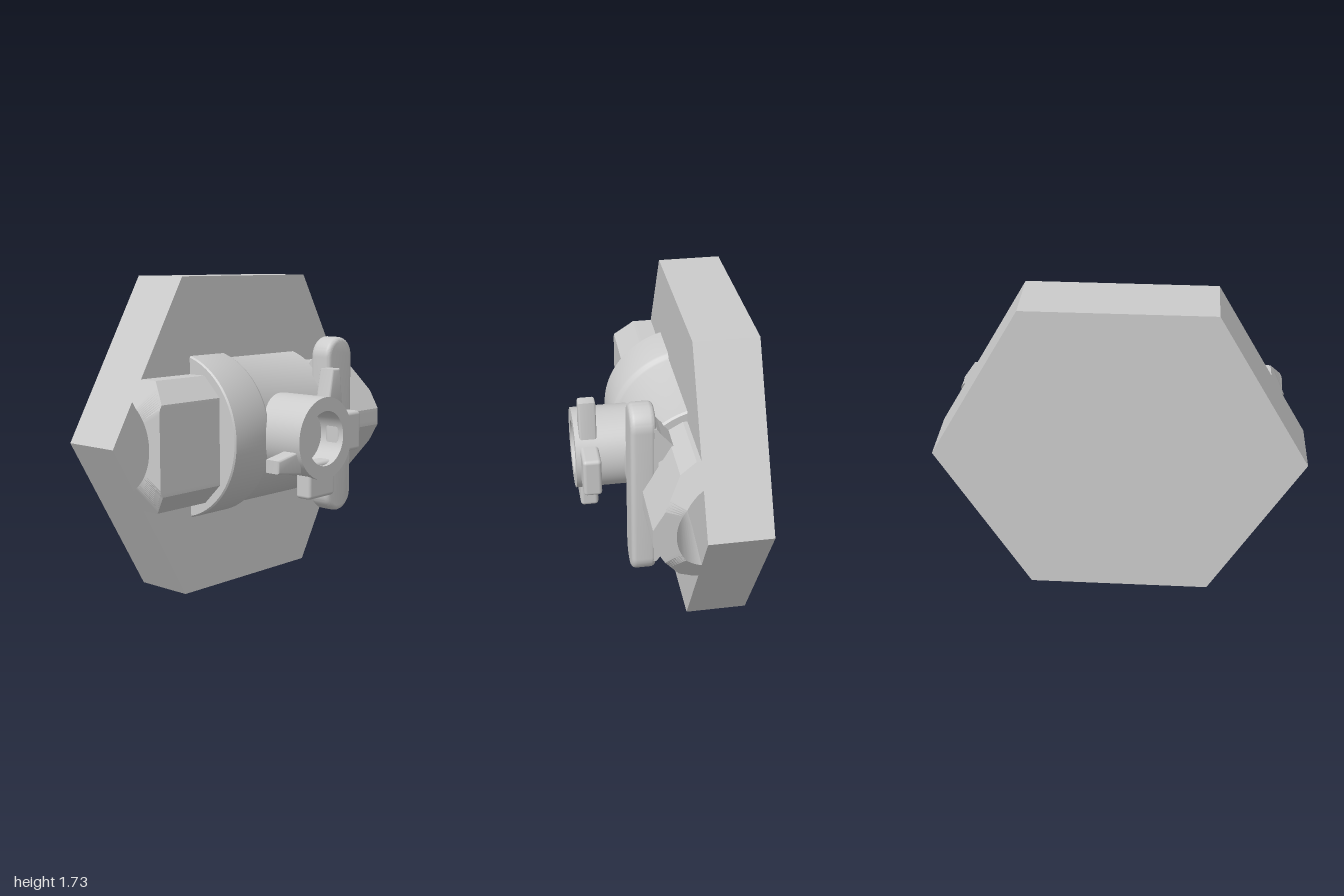
import * as THREE from 'three';
import { toCreasedNormals } from 'three/addons/utils/BufferGeometryUtils.js';
import { RoundedBoxGeometry } from 'three/addons/geometries/RoundedBoxGeometry.js';

const CY = 0.866, AXIS_Z = -0.24, PLATE_FRONT = -0.115, PLATE_BACK = -0.455;
const rad = THREE.MathUtils.degToRad;
const V = (x, y) => new THREE.Vector2(x, y);

export function createModel() {
  const group = new THREE.Group();
  const mat = new THREE.MeshStandardMaterial({ color: 0xcccccc });
  const openMat = new THREE.MeshStandardMaterial({ color: 0xcccccc, side: THREE.DoubleSide });

  const add = (name, geo, x = 0, y = 0, z = 0, material = mat) => {
    const mesh = new THREE.Mesh(geo, material);
    mesh.name = name;
    mesh.position.set(x, y, z);
    group.add(mesh);
    return mesh;
  };

  // Hexagonal backing plate
  const hex = new THREE.Shape(Array.from({ length: 6 }, (_, i) => V(Math.cos(rad(i * 60)), Math.sin(rad(i * 60)))));
  add('hexPlate', new THREE.ExtrudeGeometry(hex, { depth: PLATE_FRONT - PLATE_BACK, bevelEnabled: false }), 0, CY, PLATE_BACK);

  // Half-round valve body, wider on the left with a soft step
  const body = new THREE.LatheGeometry([
    V(0.28, -0.45), V(0.452, -0.45), V(0.46, -0.442), V(0.46, -0.19), V(0.455, -0.177), V(0.44, -0.165),
    V(0.435, -0.15), V(0.435, 0.405), V(0.425, 0.415), V(0.28, 0.415),
  ], 64, -Math.PI / 2, Math.PI);
  body.rotateZ(-Math.PI / 2);
  add('valveBody', toCreasedNormals(body, 0.6), 0, CY, AXIS_Z);

  // Faceted pipe end with tapered bore; its tip is trimmed along the plate outline
  function pipeEnd(name, side, xBase, xEnd, faces, corners) {
    const angles = [...Array.from({ length: 91 }, (_, i) => -90 + i * 2), ...corners.flatMap(c => [-c, c])]
      .map(rad).sort((a, b) => a - b);
    const trim = y => Math.min(xEnd, 1 - Math.abs(y) / Math.sqrt(3));
    const outer = a => Math.min(...faces.map(([n, d]) => {
      const c = Math.cos(a - rad(n));
      return c > 0.1 ? d / c : Infinity;
    }));
    const sections = [
      [outer, () => xBase], [outer, trim],
      [() => 0.265, trim], [() => 0.22, () => 0.6], [() => 0.22, () => 0],
    ];
    const pos = [], index = [], n = angles.length;
    for (const [r, xAt] of sections) {
      for (const a of angles) {
        const y = r(a) * Math.sin(a);
        pos.push(side * xAt(y), y, r(a) * Math.cos(a));
      }
    }
    for (let i = 0; i < sections.length - 1; i++) {
      for (let j = 0; j < n - 1; j++) {
        const a = i * n + j, b = a + n, c = b + 1, d = a + 1;
        if (side > 0) index.push(a, b, c, a, c, d);
        else index.push(a, c, b, a, d, c);
      }
    }
    const geo = new THREE.BufferGeometry();
    geo.setAttribute('position', new THREE.Float32BufferAttribute(pos, 3));
    geo.setIndex(index);
    add(name, toCreasedNormals(geo, 0.3), 0, CY, AXIS_Z, openMat);
  }
  pipeEnd('rightPipeEnd', -1, 0.43, 0.88,
    [[0, 0.345], [45, 0.41], [-45, 0.41], [90, 0.345], [-90, 0.345]], [34.26, 55.74]);
  pipeEnd('leftPipeEnd', 1, 0.4, 0.91,
    [-90, -60, -30, 0, 30, 60, 90].map(n => [n, n % 60 ? 0.358 : 0.385]), [7.4, 52.6, 67.4]);

  // Stem collar with a blind hole
  const stem = new THREE.LatheGeometry([
    V(0.225, -0.1), V(0.225, 0.455), V(0.15, 0.455), V(0.15, 0.3), V(0, 0.3),
  ], 64);
  stem.rotateX(Math.PI / 2);
  add('stemCollar', toCreasedNormals(stem, 0.6), 0.012, CY, 0);

  // Prism with slightly bevelled edges, facing +z
  const prism = (shape, z0, z1, bevel, segments = 3) => {
    const geo = new THREE.ExtrudeGeometry(shape, {
      depth: z1 - z0 - 2 * bevel, bevelSize: bevel, bevelThickness: bevel,
      bevelOffset: -bevel, bevelSegments: segments, curveSegments: 20,
    });
    geo.translate(0, 0, z0 + bevel);
    return toCreasedNormals(geo, 0.6);
  };

  // Two broad lugs and two narrow tapered stops around the collar
  add('sideLug', new RoundedBoxGeometry(0.2, 0.22, 0.1, 3, 0.02), 0.255, 0.873, 0.38);
  add('lowerLug', new RoundedBoxGeometry(0.22, 0.2, 0.1, 3, 0.02), 0.015, 0.638, 0.38);
  const upper = new THREE.Shape([V(0.06, 1.02), V(0.19, 1.02), V(0.165, 1.233), V(0.1, 1.233)]);
  const lateral = new THREE.Shape([V(-0.35, 0.717), V(-0.16, 0.69), V(-0.16, 0.82), V(-0.35, 0.787)]);
  add('upperStop', prism(upper, 0.335, 0.43, 0.012));
  add('lateralStop', prism(lateral, 0.335, 0.43, 0.012));

  // Upright round-ended lever bar
  const bar = new THREE.Shape();
  const r = 0.1125, h = 0.51 - r;
  bar.absarc(0, h, r, 0, Math.PI);
  bar.absarc(0, -h, r, Math.PI, Math.PI * 2);
  add('leverBar', prism(bar, 0.07, 0.203, 0.028, 5), 0.457, 0.868, 0);

  // Sloping web joining the lever bar to the pipe
  const web = new THREE.Shape([
    V(-0.16, -0.42), V(-0.07, -0.42), V(-0.045, -0.385), V(0.02, -0.31),
    V(0.02, 0.31), V(-0.045, 0.385), V(-0.07, 0.42), V(-0.16, 0.42),
  ]);
  // keep the bore clear with an inner cut-out
  const cut = new THREE.Path();
  cut.moveTo(0.015, -0.27);
  cut.lineTo(-0.06, -0.22);
  cut.lineTo(-0.06, 0.22);
  cut.lineTo(0.015, 0.27);
  cut.closePath();
  web.holes.push(cut);
  const webGeo = new THREE.ExtrudeGeometry(web, { depth: 0.17, bevelEnabled: false });
  webGeo.rotateY(Math.PI / 2);
  add('leverWeb', webGeo, 0.395, CY, 0);

  return group;
}
